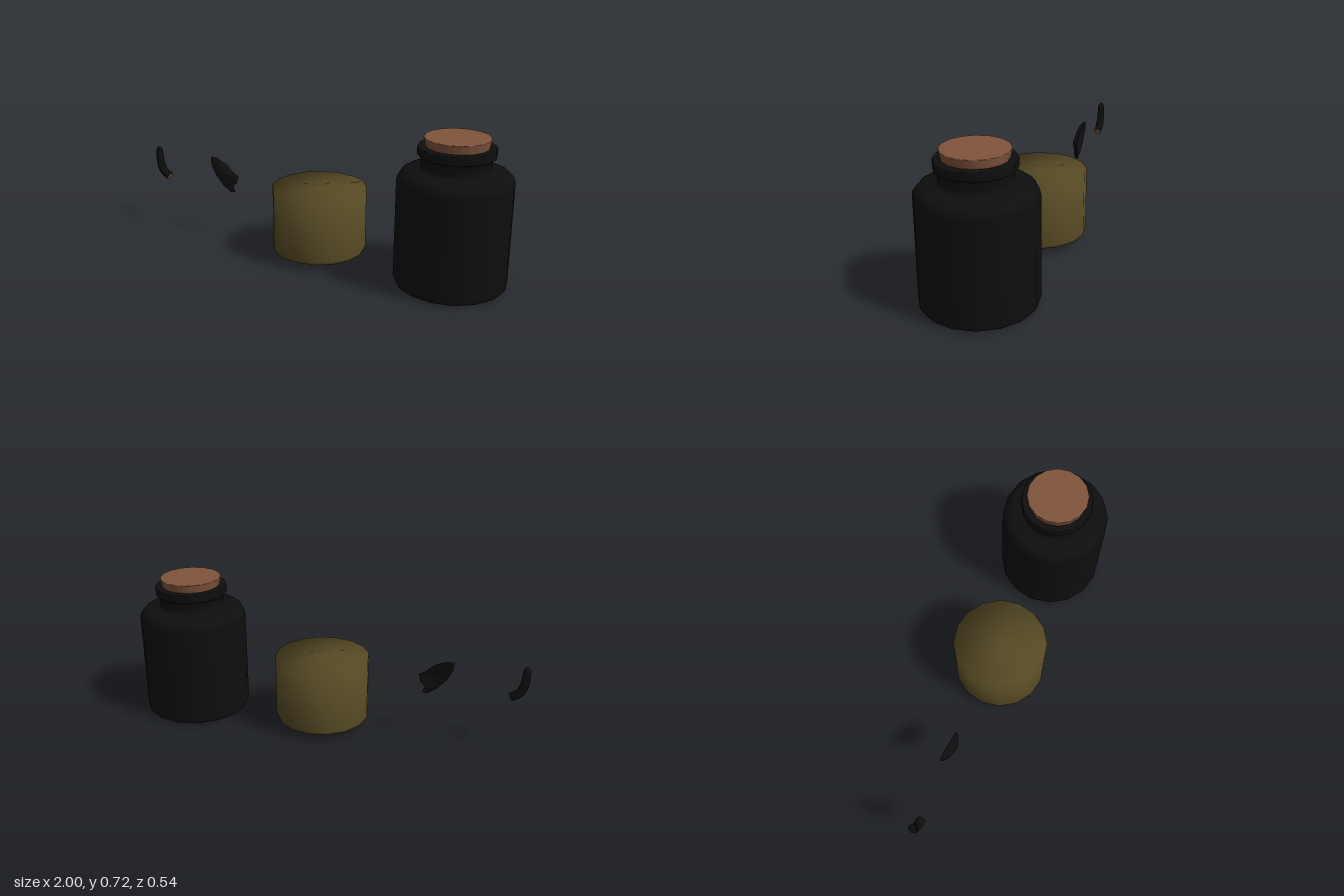
import * as THREE from 'three';

const V = (x, y, z = 0) => new THREE.Vector3(x, y, z);

// Sixteen-sided smooth body from a profile of [radius, height], bottom to top
function turned(name, profile, x, material) {
  const points = profile.map(([r, y]) => new THREE.Vector2(r, y));
  const mesh = new THREE.Mesh(new THREE.LatheGeometry(points, 16), material);
  mesh.name = name;
  mesh.position.x = x;
  return mesh;
}

// Tube along a curve whose radius follows a rule of t
function taperedTube(curve, steps, sides, radius) {
  const geo = new THREE.TubeGeometry(curve, steps, 1, sides);
  const pos = geo.attributes.position;
  const p = V(0, 0);
  for (let i = 0; i <= steps; i++) {
    const centre = curve.getPointAt(i / steps);
    for (let j = 0; j <= sides; j++) {
      const k = i * (sides + 1) + j;
      p.fromBufferAttribute(pos, k).sub(centre).multiplyScalar(radius(i / steps)).add(centre);
      pos.setXYZ(k, p.x, p.y, p.z);
    }
  }
  return geo;
}

// Curved shell: an outline lofted inward over rings of [scale, z]
function domedShell(outline, cx, cy, rings) {
  const n = outline.length, verts = [], index = [];
  for (const [s, z] of rings) {
    for (const [x, y] of outline) verts.push(cx + (x - cx) * s, cy + (y - cy) * s, z);
  }
  for (let r = 0; r < rings.length - 1; r++) {
    for (let i = 0; i < n; i++) {
      const a = r * n + i, b = r * n + (i + 1) % n;
      index.push(a, a + n, b, b, a + n, b + n);
    }
  }
  const geo = new THREE.BufferGeometry();
  geo.setAttribute('position', new THREE.Float32BufferAttribute(verts, 3));
  geo.setIndex(index);
  geo.computeVertexNormals();
  return geo;
}

export function createModel() {
  const mat = (name, color, side = THREE.FrontSide) => {
    const m = new THREE.MeshStandardMaterial({ color, side });
    m.name = name;
    return m;
  };
  const black = mat('black', 0x0e0e0e, THREE.DoubleSide);
  const olive = mat('olive', 0x564924);
  const cork = mat('cork brown', 0x80543b);
  const model = new THREE.Group();
  model.name = 'specimenJarSet';

  // Jar with rounded shoulder, narrow neck and collar
  model.add(turned('jar', [
    [0, 0], [0.235, 0], [0.249, 0.002], [0.263, 0.01], [0.27, 0.025],
    [0.27, 0.505], [0.265, 0.53], [0.249, 0.551], [0.224, 0.561],
    [0.174, 0.567], [0.165, 0.573], [0.162, 0.583], [0.162, 0.632],
    [0.177, 0.632], [0.18, 0.636], [0.18, 0.672], [0.177, 0.676],
    [0.146, 0.676], [0.142, 0.672], [0.142, 0.58],
  ], 0.73, black));

  // Tapered stopper
  model.add(turned('stopper', [
    [0, 0.6], [0.13, 0.6], [0.146, 0.677], [0.154, 0.714], [0.152, 0.718], [0, 0.718],
  ], 0.73, cork));

  // Liquid filling, shown beside the jar
  model.add(turned('liquid', [
    [0, 0.027], [0.215, 0.032], [0.232, 0.04], [0.237, 0.055], [0.237, 0.37], [0, 0.37],
  ], 0.027, olive));

  // Pointed ear: bulging front, dished back
  const outline = [
    [-0.64, 0.421], [-0.603, 0.421], [-0.544, 0.395], [-0.496, 0.352],
    [-0.469, 0.336], [-0.48, 0.299], [-0.501, 0.277], [-0.491, 0.245],
    [-0.512, 0.24], [-0.56, 0.272], [-0.608, 0.325], [-0.635, 0.379],
  ];
  const ear = new THREE.Mesh(domedShell(outline, -0.55, 0.335, [
    [0, 0.0], [0.5, -0.004], [0.9, -0.018], [1, -0.016],
    [0.96, -0.006], [0.75, 0.006], [0.4, 0.014], [0, 0.016],
  ].reverse()), black);
  // Rings run front to back, so the shell faces are turned outward
  const idx = ear.geometry.index.array;
  for (let i = 0; i < idx.length; i += 3) [idx[i + 1], idx[i + 2]] = [idx[i + 2], idx[i + 1]];
  ear.geometry.computeVertexNormals();
  ear.name = 'ear';
  model.add(ear);

  // Bent finger with a rounded tip
  const path = new THREE.CatmullRomCurve3([
    V(-0.978, 0.438), V(-0.976, 0.37), V(-0.965, 0.318), V(-0.944, 0.29), V(-0.914, 0.274),
  ]);
  const finger = new THREE.Mesh(taperedTube(path, 20, 8, (t) =>
    Math.min(0.022, 0.018 * Math.sqrt(Math.min(1, t / 0.12)) + 0.006 * t)), black);
  finger.geometry.computeVertexNormals();
  finger.name = 'finger';
  model.add(finger);

  // Cut end of the finger
  const cut = new THREE.Mesh(new THREE.CircleGeometry(0.021, 8), cork);
  cut.name = 'fingerCutEnd';
  cut.position.copy(path.getPointAt(1));
  cut.quaternion.setFromUnitVectors(V(0, 0, 1), path.getTangentAt(1));
  model.add(cut);

  return model;
}
